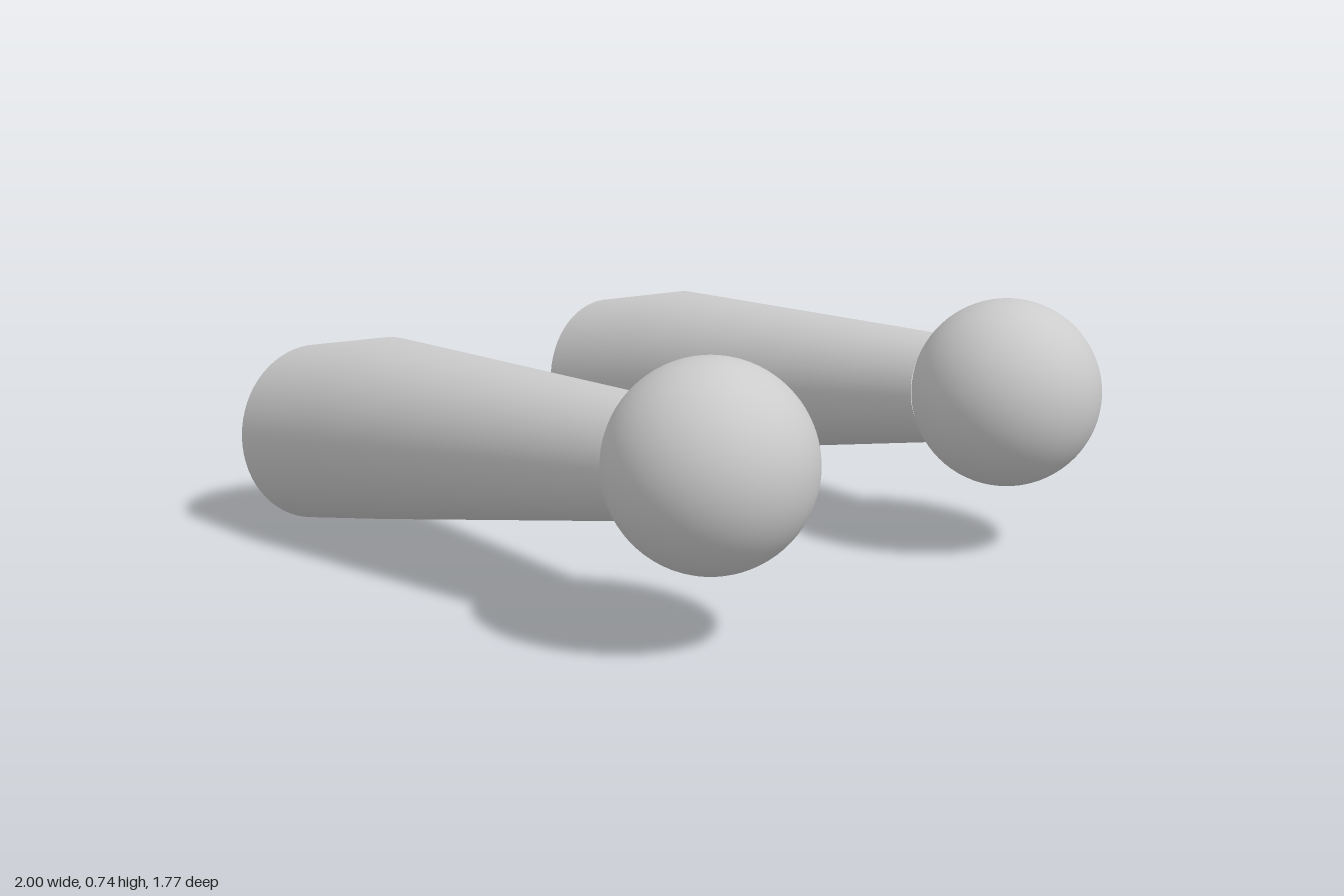
import * as THREE from 'three';
import { mergeVertices } from 'three/addons/utils/BufferGeometryUtils.js';

const SIDES = 64;
const TILT = 0.095; // lean of every ring, top towards -x
// rings from the neck to the wide end: centre x, centre y, radius
const RINGS = [[0.505, 0.443, 0.159], [-0.6, 0.339, 0.268], [-0.975, 0.268, 0.267]];

// bent, tapered sleeve: an open cylinder whose rings are moved onto RINGS
function sleeveGeometry() {
  let geo = new THREE.CylinderGeometry(1, 1, 2, SIDES, 2, true);
  geo.deleteAttribute('uv');
  geo.deleteAttribute('normal');
  geo = mergeVertices(geo);
  const p = geo.attributes.position;
  for (let i = 0; i < p.count; i++) {
    const [cx, cy, r] = RINGS[Math.round(1 - p.getY(i))];
    const up = -p.getX(i) * r;
    p.setXYZ(i, cx - TILT * up, cy + up, p.getZ(i) * r);
  }
  geo.computeVertexNormals();
  return geo;
}

export function createModel() {
  const model = new THREE.Group();
  model.name = 'armPair';
  const material = new THREE.MeshStandardMaterial({ color: 0xcccccc });

  const sleeveGeo = sleeveGeometry();
  const [ex, ey, er] = RINGS[2];
  const capGeo = new THREE.CircleGeometry(er, SIDES)
    .rotateY(-Math.PI / 2).rotateZ(TILT).translate(ex, ey, 0);
  const handGeo = new THREE.SphereGeometry(0.272, 64, 40).translate(0.727, 0.465, 0);

  // two identical arms, one on each side of z = 0
  for (const side of [1, -1]) {
    const arm = new THREE.Group();
    arm.name = side > 0 ? 'frontArm' : 'backArm';
    const parts = { sleeve: sleeveGeo, sleeveEnd: capGeo, ballHand: handGeo };
    for (const [name, geo] of Object.entries(parts)) {
      const mesh = new THREE.Mesh(geo, material);
      mesh.name = name;
      arm.add(mesh);
    }
    arm.position.z = side * 0.612;
    model.add(arm);
  }
  return model;
}
